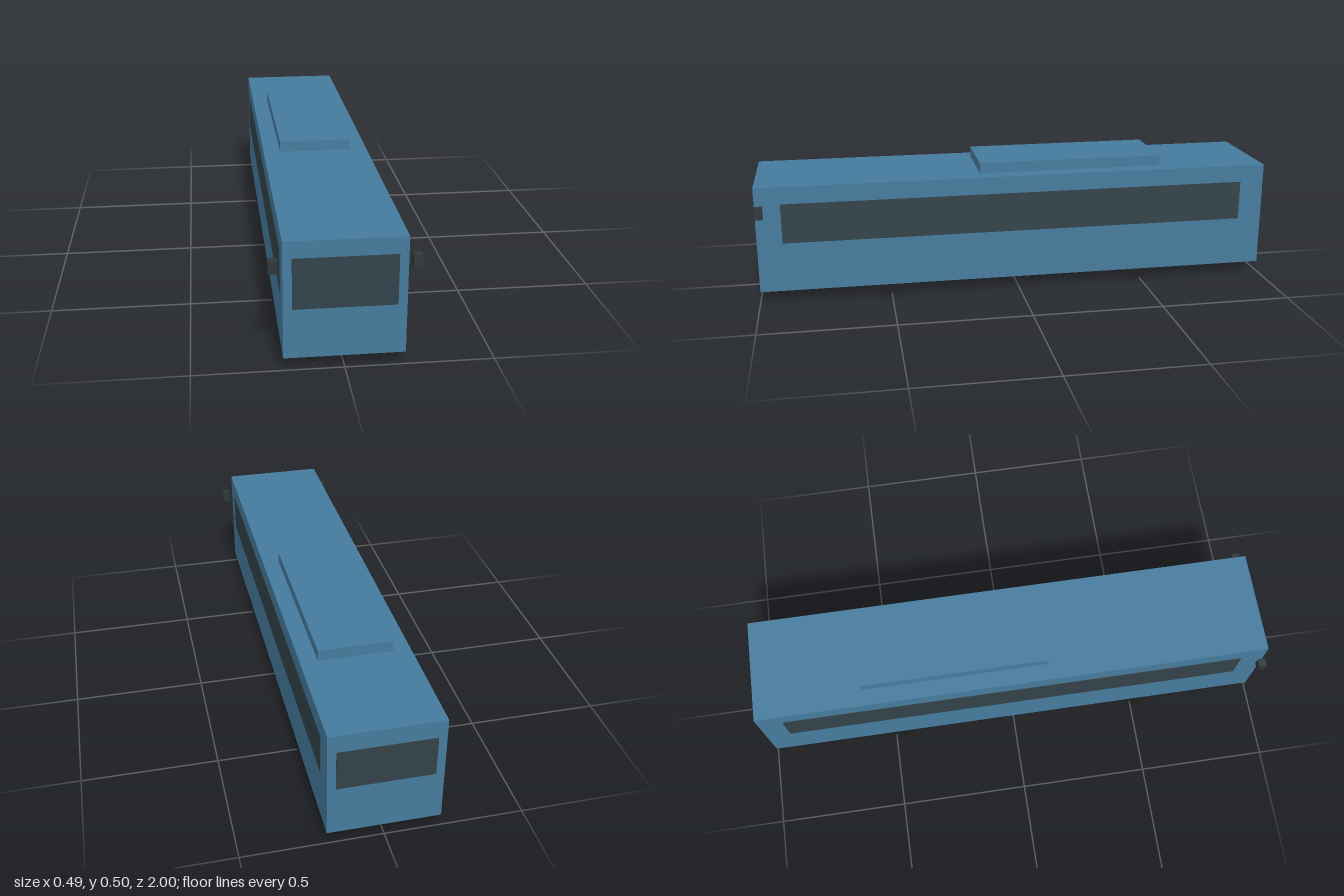
import * as THREE from 'three';

const paint = (color) => new THREE.MeshStandardMaterial({ color, flatShading: true });

export function createModel() {
  const bus = new THREE.Group();
  bus.name = 'bus';
  const blue = paint(0x457b9d);
  const glass = paint(0x32434a);
  const trim = paint(0x30363a);
  const rubber = paint(0x1c1f21);

  // Box given by its lower and upper corners
  function box(name, material, [x0, y0, z0], [x1, y1, z1]) {
    const mesh = new THREE.Mesh(new THREE.BoxGeometry(x1 - x0, y1 - y0, z1 - z0), material);
    mesh.position.set((x0 + x1) / 2, (y0 + y1) / 2, (z0 + z1) / 2);
    mesh.name = name;
    bus.add(mesh);
    return mesh;
  }

  // Shell and roof unit
  box('body', blue, [-0.201, 0.043, -0.998], [0.201, 0.454, 0.998]);
  box('roofUnit', blue, [-0.137, 0.454, -0.582], [0.137, 0.495, 0.142]);

  // End windows, slightly proud of the shell
  box('windscreen', glass, [-0.171, 0.218, 0.99], [0.171, 0.395, 1]);
  box('rearWindow', glass, [-0.171, 0.234, -1], [0.171, 0.387, -0.99]);

  // Eight-sided wheel resting on one corner
  const radius = 0.082;
  const wheelGeometry = new THREE.CylinderGeometry(radius, radius, 0.036, 8);
  wheelGeometry.rotateZ(Math.PI / 2);

  for (const [side, s] of [['left', 1], ['right', -1]]) {
    // Side window band
    const band = box(side + 'Windows', glass, [0.193, 0.234, -0.903], [0.203, 0.387, 0.903]);
    band.position.x *= s;

    // Door mirror
    const mirror = box(side + 'Mirror', trim, [0.216, 0.343, 0.967], [0.246, 0.387, 0.997]);
    mirror.position.x *= s;

    // Front and rear wheels
    for (const [end, z] of [['Front', 0.516], ['Rear', -0.485]]) {
      const wheel = new THREE.Mesh(wheelGeometry, rubber);
      wheel.position.set(s * 0.182, radius, z);
      wheel.name = side + end + 'Wheel';
      bus.add(wheel);
    }
  }
  return bus;
}
